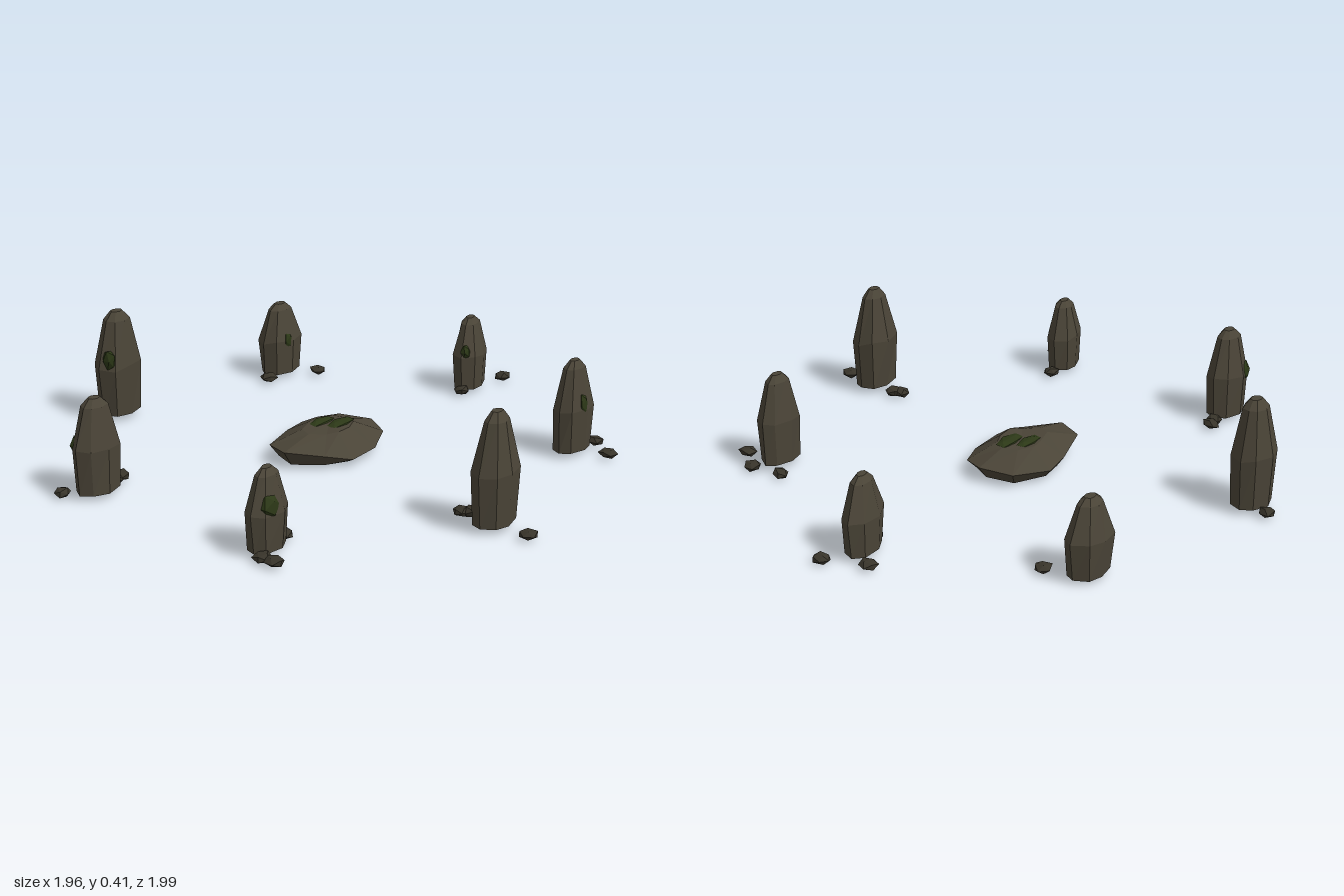
import * as THREE from 'three';

const mat = (name, color) => {
  const m = new THREE.MeshStandardMaterial({ color, flatShading: true });
  m.name = name;
  return m;
};

// repeatable noise in 0..1
const noise = (n) => {
  const s = Math.sin(n * 12.9898 + 4.1) * 43758.5453;
  return s - Math.floor(s);
};

// closed solid from rings of [x, y, z], listed bottom to top, each counter-clockwise from above
function loft(rings) {
  const n = rings[0].length;
  const pos = rings.flat();
  const index = [];
  for (let r = 0; r < rings.length - 1; r++) {
    for (let i = 0; i < n; i++) {
      const a = r * n + i, b = r * n + (i + 1) % n;
      index.push(a, b, b + n, a, b + n, a + n);
    }
  }
  const center = (ring) => [0, 1, 2].map((k) => ring.reduce((s, p) => s + p[k], 0) / n);
  const last = (rings.length - 1) * n;
  const low = pos.push(center(rings[0])) - 1;
  const high = pos.push(center(rings[rings.length - 1])) - 1;
  for (let i = 0; i < n; i++) {
    const j = (i + 1) % n;
    index.push(low, j, i, high, last + i, last + j);
  }
  const g = new THREE.BufferGeometry();
  g.setAttribute('position', new THREE.Float32BufferAttribute(pos.flat(), 3));
  g.setIndex(index);
  g.computeVertexNormals();
  return g;
}

// upright stone: eight sides, widest half way up, blunt tip
function stoneGeometry(rx, rz, h, seed) {
  const profile = [[0.05, 0.88], [0.5, 1], [0.92, 0.54], [0.995, 0.25]];
  return loft(profile.map(([y, r], k) => Array.from({ length: 8 }, (_, i) => {
    const a = (i + 0.3 * (noise(seed * 9 + i) - 0.5)) * Math.PI / 4;
    const s = r * (0.95 + 0.1 * noise(seed * 31 + i * 4 + k));
    return [Math.cos(a) * rx * s, h * (y + (k === 1 ? 0.05 * (noise(seed + i) - 0.5) : 0)), -Math.sin(a) * rz * s];
  })));
}

// rough lump: an icosahedron with each corner pushed in or out
function lumpGeometry(rx, ry, rz, seed, rough = 0.3) {
  const g = new THREE.IcosahedronGeometry(1, 0);
  const p = g.attributes.position;
  for (let i = 0; i < p.count; i++) {
    const key = Math.round(p.getX(i) * 10) + Math.round(p.getY(i) * 10) * 1.7 + Math.round(p.getZ(i) * 10) * 2.9;
    const s = 1.1 - rough * noise(key + seed);
    p.setXYZ(i, p.getX(i) * rx * s, p.getY(i) * ry * s, p.getZ(i) * rz * s);
  }
  g.computeVertexNormals();
  return g;
}

export function createModel() {
  const model = new THREE.Group();
  model.name = 'stoneCircle';
  const stone = mat('stone', 0x4a4437);
  const darkStone = mat('darkStone', 0x38342a);
  const moss = mat('moss', 0x2c3817);

  const add = (name, geometry, material, x, y, z, turn = 0) => {
    const m = new THREE.Mesh(geometry, material);
    m.name = name;
    m.position.set(x, y, z);
    m.rotation.y = turn;
    model.add(m);
  };

  // ring of standing stones: x, z, half width, half depth, height, turn
  [
    [-0.262, -0.882, 0.097, 0.078, 0.413, 0],
    [0.478, -0.715, 0.1, 0.07, 0.29, 0],
    [-0.862, -0.408, 0.097, 0.072, 0.352, 0],
    [0.8, -0.027, 0.103, 0.06, 0.29, 0.25],
    [-0.86, 0.348, 0.094, 0.062, 0.29, 0.15],
    [-0.262, 0.82, 0.097, 0.071, 0.413, 0],
    [0.466, 0.655, 0.094, 0.061, 0.352, 0],
  ].forEach(([x, z, rx, rz, h, turn], i) =>
    add('standingStone', stoneGeometry(rx, rz, h, i + 1), stone, x, 0, z, turn));

  // fallen slab in the middle
  const rim = [
    [0.165, 0.058, -0.02], [0.14, 0.055, -0.15], [0.01, 0.045, -0.22], [-0.1, 0.05, -0.2], [-0.27, 0.06, -0.14],
    [-0.31, 0.066, -0.04], [-0.22, 0.05, 0.07], [-0.14, 0.03, 0.135], [0, 0.03, 0.125], [0.12, 0.045, 0.07],
  ];
  const cx = -0.06, cz = -0.04;
  const inset = (s, y) => rim.map(([x, , z], i) => [cx + (x - cx) * s, y + 0.008 * noise(i), cz + (z - cz) * s]);
  add('fallenSlab', loft([inset(0.84, 0.006), rim, inset(0.45, 0.092)]), stone, 0, 0, 0);

  // small rubble around each stone
  [
    [-0.225, -0.97], [-0.4, -0.825], [0.365, -0.68], [0.555, -0.585], [-0.96, -0.48],
    [-0.725, -0.43], [-0.765, -0.42], [0.885, -0.12], [0.945, 0.03], [0.71, 0],
    [-0.76, 0.335], [-0.945, 0.4], [-0.945, 0.45], [-0.25, 0.68], [-0.235, 0.71],
    [-0.275, 0.96], [0.56, 0.57], [0.575, 0.69], [0.495, 0.79],
  ].forEach(([x, z], i) =>
    add('rubble', lumpGeometry(0.035, 0.02, 0.035, i * 3.3), darkStone, x, 0.018, z, i * 1.3));

  // moss patches: position, radii
  [
    [-0.015, 0.097, -0.02, 0.07, 0.012, 0.035],
    [-0.05, 0.098, -0.08, 0.065, 0.011, 0.03],
    [-0.888, 0.17, 0.385, 0.046, 0.048, 0.026],
    [0.46, 0.193, 0.7, 0.024, 0.044, 0.018],
    [-0.335, 0.24, -0.855, 0.022, 0.042, 0.03],
    [-0.9, 0.18, -0.455, 0.032, 0.04, 0.022],
    [0.725, 0.17, 0.005, 0.022, 0.03, 0.02],
    [0.46, 0.15, -0.66, 0.024, 0.035, 0.016],
  ].forEach(([x, y, z, rx, ry, rz], i) =>
    add('mossPatch', lumpGeometry(rx, ry, rz, i * 5.7, 0.2), moss, x, y, z));

  return model;
}
